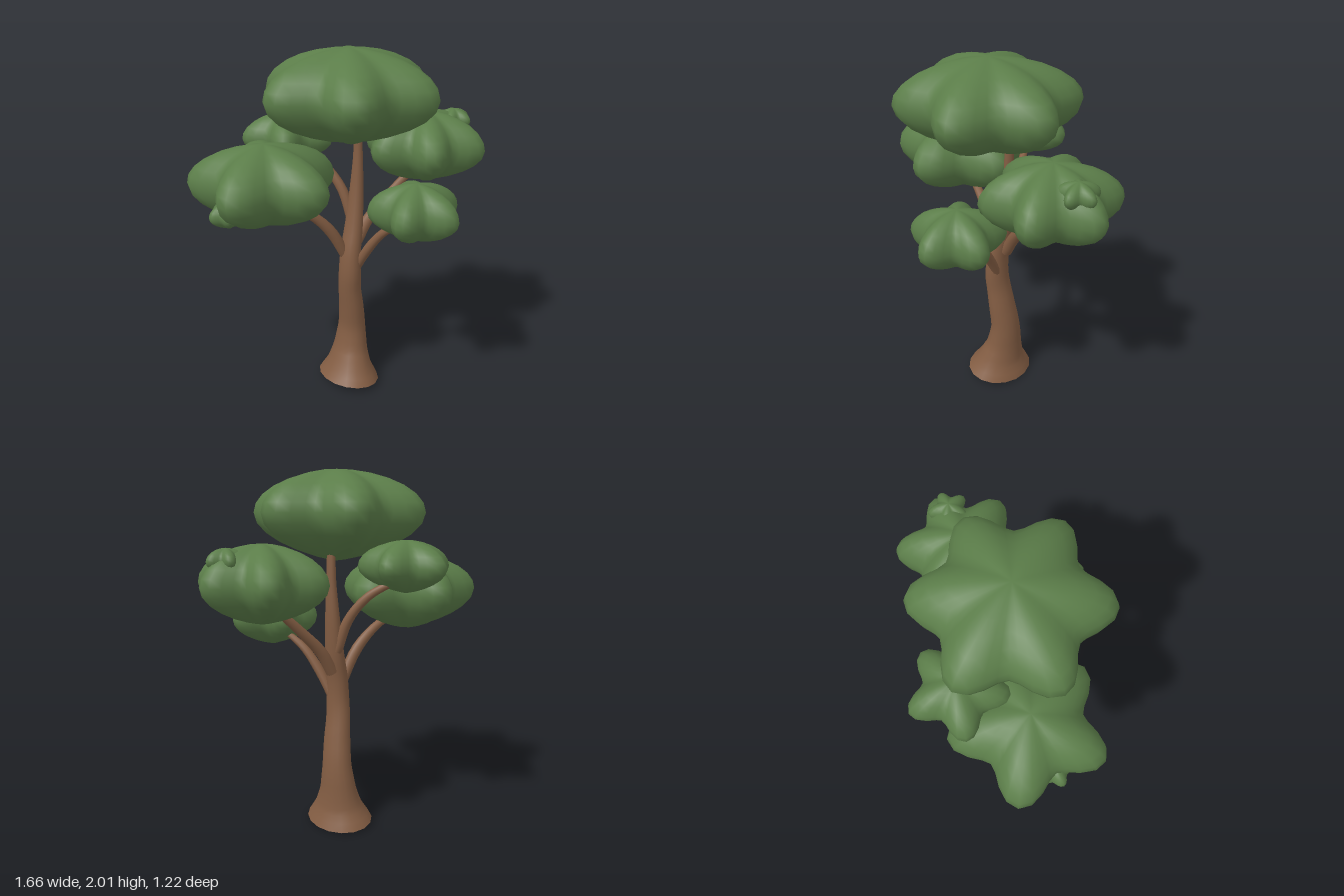
import * as THREE from 'three';
import { mergeVertices } from 'three/addons/utils/BufferGeometryUtils.js';

const bark = new THREE.MeshStandardMaterial({ color: 0x835d43 });
bark.name = 'bark brown';
const leaf = new THREE.MeshStandardMaterial({ color: 0x5b7d49 });
leaf.name = 'leaf green';

// weld seams and recompute smooth normals
function smooth(geometry) {
  geometry.deleteAttribute('uv');
  geometry.deleteAttribute('normal');
  const welded = mergeVertices(geometry, 1e-4);
  welded.computeVertexNormals();
  return welded;
}

// tapered tube through [x, y, z, radius] points, closed at both ends
function limb(name, points, steps, sides, zScale = 1) {
  const group = new THREE.Group();
  group.name = name;
  const path = new THREE.CatmullRomCurve3(points.map(p => new THREE.Vector3(p[0], p[1], p[2])));
  const radiusAt = u => {
    const t = path.getUtoTmapping(u) * (points.length - 1);
    const i = Math.min(Math.floor(t), points.length - 2);
    return THREE.MathUtils.lerp(points[i][3], points[i + 1][3], t - i);
  };
  const tube = new THREE.TubeGeometry(path, steps, 1, sides, false);
  const pos = tube.attributes.position;
  const v = new THREE.Vector3();
  for (let i = 0; i < pos.count; i++) {
    const u = Math.floor(i / (sides + 1)) / steps;
    const c = path.getPointAt(u);
    v.fromBufferAttribute(pos, i).sub(c).multiplyScalar(radiusAt(u));
    v.z *= zScale;
    v.add(c);
    pos.setXYZ(i, v.x, v.y, v.z);
  }
  const wood = new THREE.Mesh(smooth(tube), bark);
  wood.name = name + 'Wood';
  group.add(wood);

  for (const u of [0, 1]) {
    const c = path.getPointAt(u);
    const out = path.getTangentAt(u).multiplyScalar(u ? 1 : -1);
    const disc = new THREE.CircleGeometry(radiusAt(u), sides);
    disc.applyQuaternion(new THREE.Quaternion().setFromUnitVectors(new THREE.Vector3(0, 0, 1), out));
    disc.scale(1, 1, zScale).translate(c.x, c.y, c.z);
    const cap = new THREE.Mesh(disc, bark);
    cap.name = name + 'Cap';
    group.add(cap);
  }
  return group;
}

// lobed foliage cushion: rounded top, more conical underside
function foliage({ name, at, tip, valley, up, down, lobes, turn = 0 }) {
  const geometry = new THREE.SphereGeometry(1, lobes * 8, 14);
  const pos = geometry.attributes.position;
  for (let i = 0; i < pos.count; i++) {
    const x = pos.getX(i), y = pos.getY(i), z = pos.getZ(i);
    const ring = Math.hypot(x, z);
    const angle = Math.atan2(z, x);
    const wave = Math.cos(lobes * (angle - turn));
    const r = ((tip + valley) / 2 + (tip - valley) / 2 * wave) * Math.pow(ring, y > 0 ? 1.15 : 1.55);
    pos.setXYZ(i, Math.cos(angle) * r, y * (y > 0 ? up : down), Math.sin(angle) * r);
  }
  const mesh = new THREE.Mesh(smooth(geometry), leaf);
  mesh.name = name;
  mesh.position.set(...at);
  return mesh;
}

export function createModel() {
  const tree = new THREE.Group();
  tree.name = 'tree';

  // curved trunk with flared foot
  tree.add(limb('trunk', [
    [-0.015, 0.017, -0.035, 0.17], [-0.005, 0.1, -0.04, 0.125], [0.01, 0.2, -0.05, 0.095],
    [0.02, 0.35, -0.05, 0.075], [0.005, 0.5, -0.035, 0.068], [-0.012, 0.62, -0.025, 0.062],
    [-0.018, 0.72, -0.015, 0.06], [-0.01, 0.85, -0.018, 0.055], [0.02, 1.0, -0.03, 0.048],
    [0.045, 1.2, -0.04, 0.037], [0.055, 1.4, -0.04, 0.025], [0.055, 1.58, -0.04, 0.02],
  ], 40, 16, 1.22));

  // branches
  tree.add(limb('leftBranch', [
    [0.045, 0.9, -0.035, 0.035], [0.12, 1.02, -0.03, 0.033], [0.25, 1.15, -0.01, 0.027], [0.4, 1.29, 0.02, 0.02],
  ], 12, 10));
  tree.add(limb('rightBranch', [
    [-0.02, 0.8, -0.03, 0.03], [-0.13, 1.0, -0.045, 0.032], [-0.25, 1.12, -0.07, 0.026], [-0.42, 1.21, -0.1, 0.018],
  ], 12, 10));
  tree.add(limb('frontBranch', [
    [0.01, 0.74, 0.0, 0.025], [0.04, 0.9, 0.09, 0.028], [0.075, 1.01, 0.17, 0.023], [0.12, 1.1, 0.29, 0.016],
  ], 12, 10));
  tree.add(limb('backBranch', [
    [0.03, 1.02, -0.06, 0.03], [0.0, 1.2, -0.12, 0.028], [-0.06, 1.33, -0.21, 0.024], [-0.16, 1.42, -0.33, 0.018],
  ], 12, 10));

  // foliage cushions
  const deg = Math.PI / 180;
  const cushions = [
    { name: 'topFoliage', at: [-0.04, 1.77, 0.02], tip: 0.49, valley: 0.36, up: 0.23, down: 0.26, lobes: 6 },
    { name: 'leftFoliage', at: [0.47, 1.42, 0.02], tip: 0.36, valley: 0.25, up: 0.2, down: 0.21, lobes: 6 },
    { name: 'rightFoliage', at: [-0.48, 1.33, -0.11], tip: 0.41, valley: 0.27, up: 0.21, down: 0.23, lobes: 5 },
    { name: 'backFoliage', at: [-0.2, 1.49, -0.35], tip: 0.26, valley: 0.17, up: 0.14, down: 0.14, lobes: 5, turn: -90 * deg },
    { name: 'frontFoliage', at: [0.15, 1.18, 0.36], tip: 0.26, valley: 0.17, up: 0.16, down: 0.16, lobes: 5, turn: 4 * deg },
    { name: 'leftTuft', at: [0.67, 1.54, 0.04], tip: 0.11, valley: 0.07, up: 0.065, down: 0.07, lobes: 5 },
    { name: 'rightTuft', at: [-0.71, 1.21, -0.09], tip: 0.1, valley: 0.07, up: 0.07, down: 0.07, lobes: 5, turn: 36 * deg },
  ];
  for (const c of cushions) tree.add(foliage(c));
  return tree;
}
